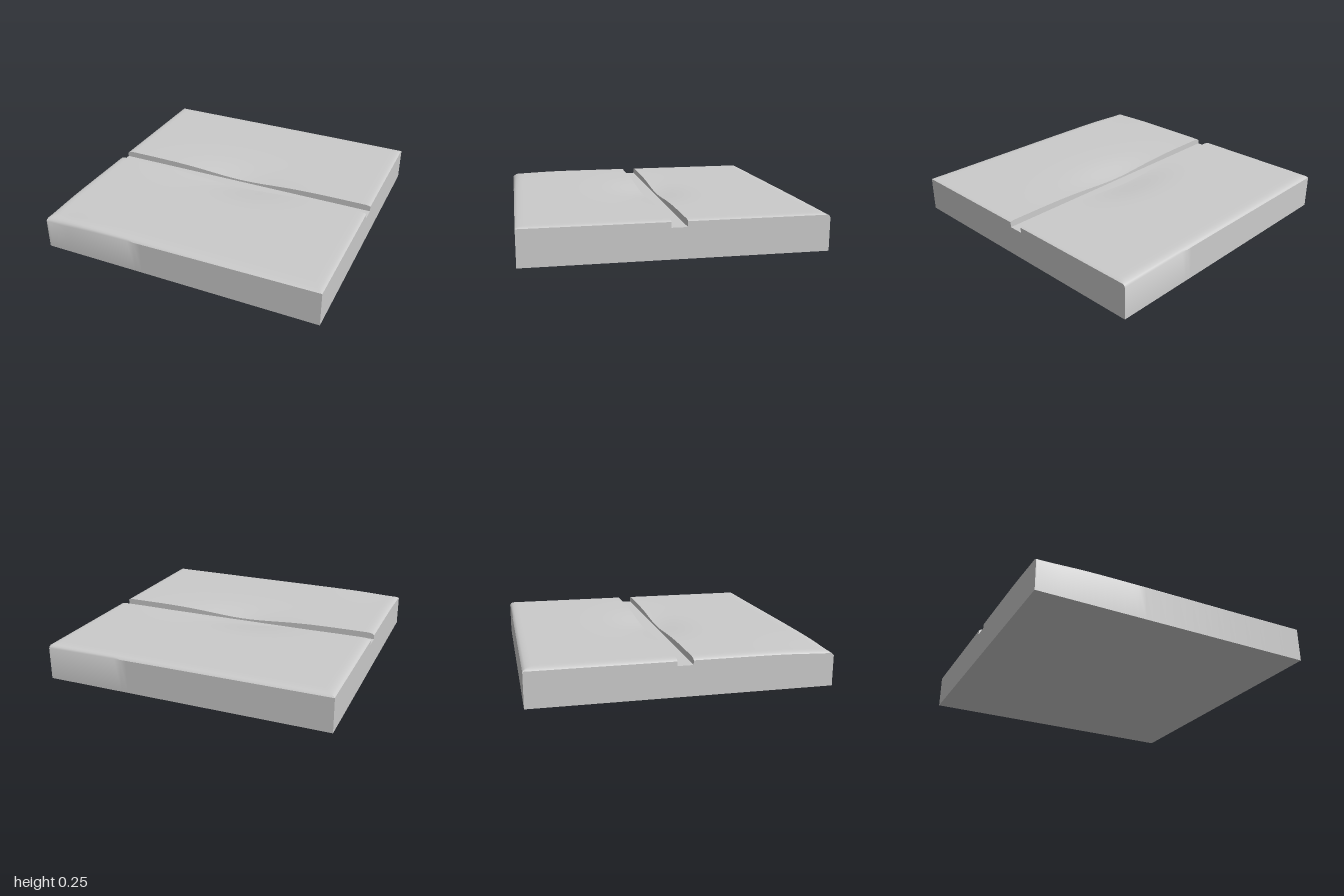
import * as THREE from 'three';
import { toCreasedNormals } from 'three/addons/utils/BufferGeometryUtils.js';

const TOP = 0.25, FLOOR = 0.205, GROOVE_BACK = -0.055, GROOVE_FRONT = 0.05;

// Rounded falloff: 1 at the border, 0 once further in than the radius
const roundOff = (dist, radius) => {
  const t = Math.min(1, dist / radius);
  return 1 - Math.sqrt(1 - (1 - t) * (1 - t));
};

// Wear along each border plus a worn dip in the middle of the groove lips
function stoneHeight(x, z) {
  const frontDrop = 0.017 - 0.01 * x + 0.013 * Math.max(0, -x) ** 2;
  const backDrop = 0.018 + 0.008 * Math.max(0, x) ** 2;
  const drop = Math.max(
    frontDrop * roundOff(1 - z, 0.07),
    backDrop * roundOff(1 + z, 0.06),
    0.015 * roundOff(1 + x, 0.06),
    0.008 * roundOff(1 - x, 0.05),
  );
  const dip = 0.032 * Math.exp(-((x / 0.36) ** 2) - (z / 0.22) ** 2);
  const corner = 0.012 * Math.exp(-((x + 1) ** 2 + (z - 1) ** 2) / 0.06);
  return Math.max(FLOOR + 0.002, TOP - drop - dip - corner);
}

// Stations from a to b, packed towards both ends
function stations(a, b, count) {
  return Array.from({ length: count + 1 }, (_, i) => {
    const t = i / count;
    return a + (b - a) * (0.25 * t + 0.75 * (0.5 - 0.5 * Math.cos(Math.PI * t)));
  });
}

function slabGeometry() {
  const xs = stations(-1, 1, 56);
  const backZ = stations(-1, GROOVE_BACK, 34);
  const frontZ = stations(GROOVE_FRONT, 1, 34);

  // Upper outline of one slice, back to front, with the groove cut in
  const outline = (x) => [
    ...backZ.map((z) => [x, stoneHeight(x, z), z]),
    [x, FLOOR, GROOVE_BACK],
    [x, FLOOR, GROOVE_FRONT],
    ...frontZ.map((z) => [x, stoneHeight(x, z), z]),
  ];

  const positions = [];
  const quad = (a, b, c, d) => positions.push(...a, ...b, ...c, ...a, ...c, ...d);
  const slices = xs.map(outline);
  const ground = ([x, , z]) => [x, 0, z];

  // Top, groove and the front and back sides
  for (let i = 0; i < slices.length - 1; i++) {
    const [p, q] = [slices[i], slices[i + 1]].map((s) => [ground(s[0]), ...s, ground(s[s.length - 1])]);
    for (let j = 0; j < p.length - 1; j++) quad(p[j], p[j + 1], q[j + 1], q[j]);
  }

  // End sides
  const left = slices[slices.length - 1], right = slices[0];
  for (let j = 0; j < left.length - 1; j++) {
    quad(ground(left[j]), left[j], left[j + 1], ground(left[j + 1]));
    quad(ground(right[j + 1]), right[j + 1], right[j], ground(right[j]));
  }

  // Underside
  quad([-1, 0, -1], [1, 0, -1], [1, 0, 1], [-1, 0, 1]);

  const geometry = new THREE.BufferGeometry();
  geometry.setAttribute('position', new THREE.Float32BufferAttribute(positions, 3));
  return toCreasedNormals(geometry, THREE.MathUtils.degToRad(40));
}

export function createModel() {
  const group = new THREE.Group();
  group.name = 'groovedStoneTile';
  const slab = new THREE.Mesh(slabGeometry(), new THREE.MeshStandardMaterial({ color: 0xcccccc }));
  slab.name = 'slab';
  group.add(slab);
  return group;
}
